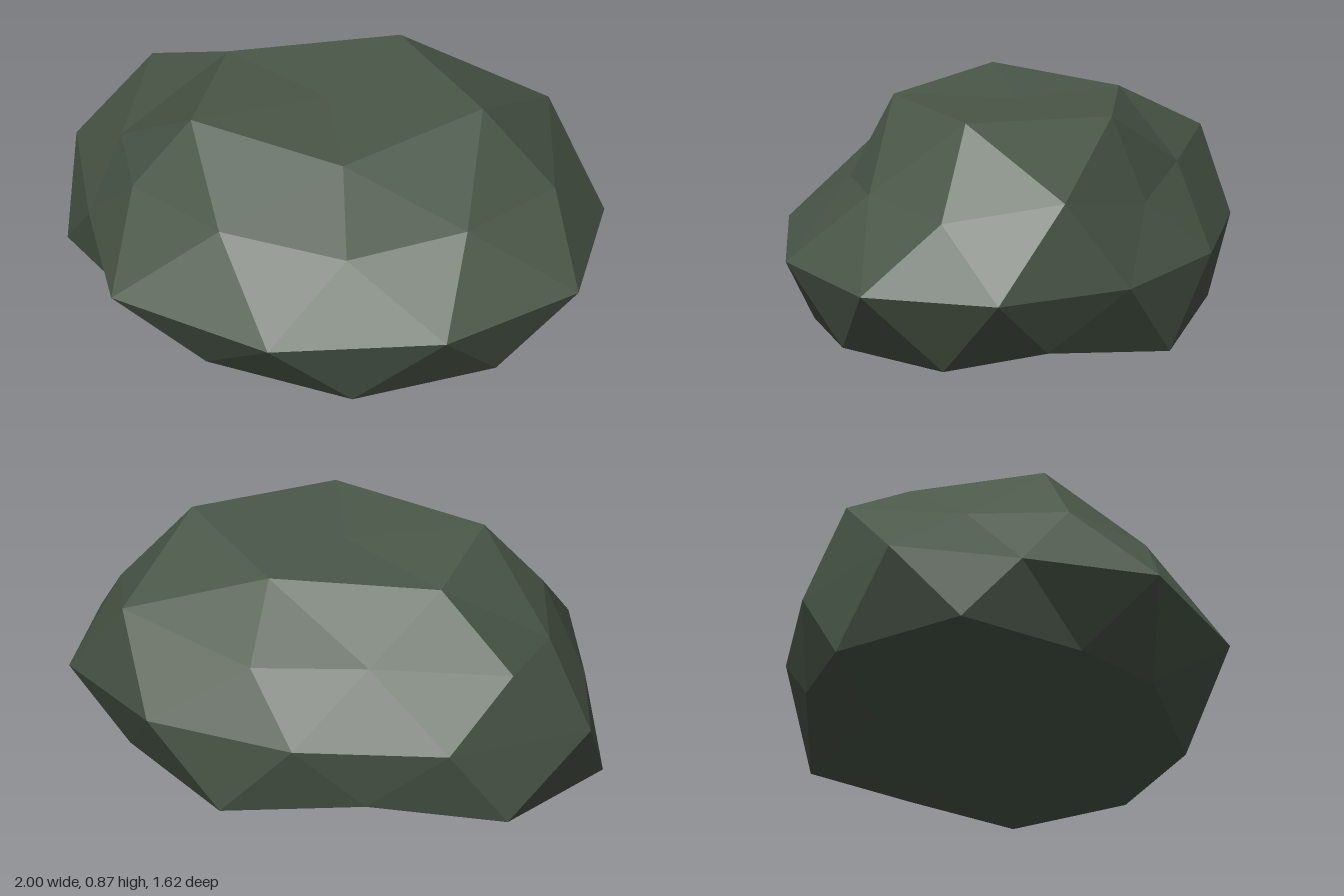
import * as THREE from 'three';

// Rings run from +x towards +z in steps of 36 degrees; each point is [x, y, z].
const waist = [
  [1, 0.19], [0.61, 0.61], [-0.01, 0.81], [-0.64, 0.62], [-0.84, 0.14],
  [-1, -0.33], [-0.57, -0.69], [-0.01, -0.81], [0.57, -0.70], [0.97, -0.33],
].map(([x, z]) => [x, 0.3, z]);

const shoulder = [
  [0.85, 0.56, -0.07], [0.61, 0.58, 0.29], [0.21, 0.53, 0.50], [-0.26, 0.60, 0.53], [-0.64, 0.57, 0.29],
  [-0.77, 0.52, -0.07], [-0.76, 0.57, -0.51], [-0.24, 0.57, -0.60], [0.20, 0.53, -0.63], [0.72, 0.64, -0.50],
];
const crown = [[0.58, 0.87, -0.07], [0.16, 0.84, 0.35], [-0.45, 0.82, 0.18], [-0.43, 0.78, -0.31], [0.17, 0.83, -0.49]];

const foot = [
  [0.83, 0, -0.07], [0.73, 0.03, 0.35], [0.26, 0, 0.62], [-0.30, 0.03, 0.56], [-0.58, 0.04, 0.33],
  [-0.97, 0.02, -0.07], [-0.75, 0, -0.55], [-0.26, 0.07, -0.71], [0.28, 0, -0.75], [0.71, 0.07, -0.43],
];
const base = [[0.43, 0, 0.19], [-0.17, 0, 0.35], [-0.55, 0, -0.07], [-0.16, 0, -0.48], [0.43, 0, -0.33]];

// Faceted cap: waist -> ten-point ring -> five-point ring -> pole.
// offset is the index of the ring point lying under the first inner point.
function capGeometry(ring, inner, pole, offset, flip) {
  const pts = [];
  const tri = (a, b, c) => pts.push(...a, ...(flip ? c : b), ...(flip ? b : c));
  for (let k = 0; k < 10; k++) {
    const next = (k + 1) % 10;
    tri(waist[(k + 9) % 10], ring[k], waist[k]);
    tri(ring[k], ring[next], waist[k]);
  }
  for (let i = 0; i < 5; i++) {
    const r = (n) => ring[(2 * i + offset + n) % 10];
    const c = inner[i], d = inner[(i + 1) % 5];
    tri(r(0), c, r(1));
    tri(r(1), c, d);
    tri(r(1), d, r(2));
    tri(c, pole, d);
  }
  const geometry = new THREE.BufferGeometry();
  geometry.setAttribute('position', new THREE.Float32BufferAttribute(pts, 3));
  geometry.computeVertexNormals(); // unshared corners give flat facets
  return geometry;
}

export function createModel() {
  const group = new THREE.Group();
  group.name = 'rock';
  const stone = new THREE.MeshStandardMaterial({ color: 0x4b5849 });
  stone.name = 'mossy grey stone';
  stone.flatShading = true;

  const upper = new THREE.Mesh(capGeometry(shoulder, crown, [0, 0.82, -0.07], 0, false), stone);
  upper.name = 'upperRock';
  const lower = new THREE.Mesh(capGeometry(foot, base, [0, 0, -0.07], 1, true), stone);
  lower.name = 'lowerRock';
  group.add(upper, lower);
  return group;
}
